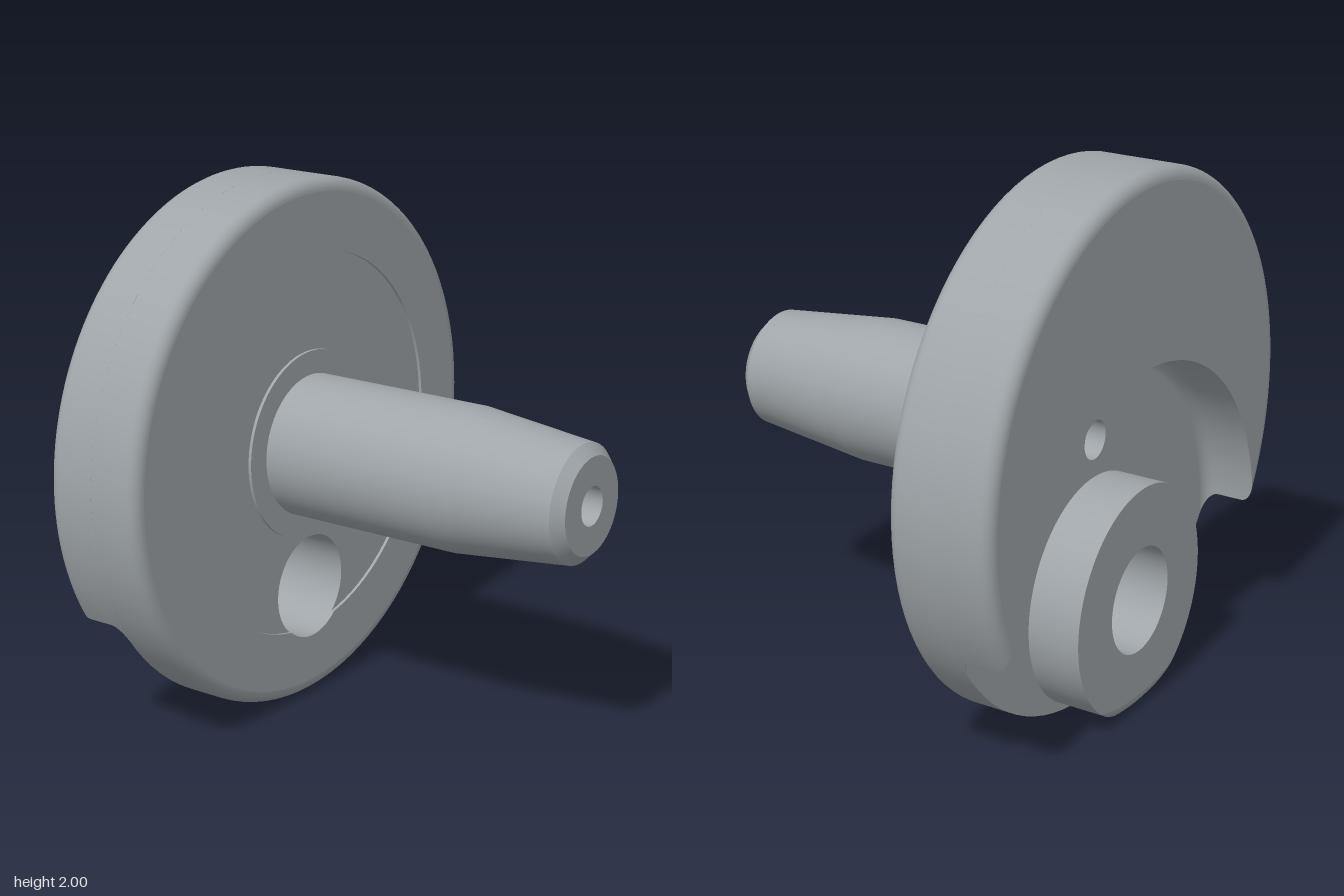
import * as THREE from 'three';

const TAU = Math.PI * 2;
const AXIS = 1, PIN = 0.43, C = AXIS - PIN;      // heights of the shaft axis and the pin bore
const X0 = -0.81, XF = -0.61, X1 = -0.41;        // web back, pocket floor, web front
const FIL = 0.05, POCKET = 0.87, BOSS = 0.43, BORE = 0.2, OIL = 0.073;
const HUB = 0.36, RECESS = 0.73, XR = X1 - 0.012; // shallow ring recess

// Points [z, y] of an arc around height cy, angles measured from straight down
function arc(cy, r, a0 = 0, a1 = TAU, n = 96) {
  return Array.from({ length: n + 1 }, (_, i) => {
    const a = a0 + (a1 - a0) * i / n;
    const q = typeof r === 'function' ? r(a) : r;
    return [q * Math.sin(a), cy - q * Math.cos(a)];
  });
}

// Angles where a circle d on the axis meets a circle p on the pin centre
function meet(d, p) {
  const a = Math.acos((d * d + C * C - p * p) / (2 * d * C));
  return [a, Math.atan2(d * Math.sin(a), d * Math.cos(a) - C)];
}

// Skin through rows of { x, pts }; rising x faces outward, falling x inward
function band(rows) {
  const pos = [], idx = [], m = rows[0].pts.length;
  rows.forEach(({ x, pts }, i) => pts.forEach(([z, y], j) => {
    pos.push(x, y, z);
    if (i && j) {
      const d = i * m + j, c = d - 1, b = d - m, a = b - 1;
      idx.push(a, c, b, b, c, d);
    }
  }));
  const g = new THREE.BufferGeometry();
  g.setAttribute('position', new THREE.Float32BufferAttribute(pos, 3));
  g.setIndex(idx);
  g.computeVertexNormals();
  return g;
}

// Flat face at x, facing dir (+1 or -1) along x
function flat(x, dir, outer, holes = []) {
  const vec = pts => pts.map(p => new THREE.Vector2(p[0], p[1]));
  const s = new THREE.Shape(vec(outer));
  s.holes = holes.map(h => new THREE.Path(vec(h)));
  return new THREE.ShapeGeometry(s).rotateY(dir * Math.PI / 2).translate(x, 0, 0);
}

const tube = (cy, list) => band(list.map(([x, r]) => ({ x, pts: arc(cy, r) })));
const round = t => Math.sqrt(Math.max(0, FIL * FIL - Math.max(0, FIL - t) ** 2));
const rimR = x => 1 - FIL + round(Math.min(x - X0, X1 - x));
const pocketR = x => POCKET - FIL + round(XF - x);

// Stations packed into a rounding at each end
function stations(a, b, endA, endB) {
  const ease = Array.from({ length: 9 }, (_, k) => FIL * (1 - Math.cos(k * Math.PI / 16)));
  return [...(endA ? ease.map(t => a + t) : [a]), ...(endB ? ease.map(t => b - t).reverse() : [b])];
}

export function createModel() {
  const group = new THREE.Group();
  const steel = new THREE.MeshStandardMaterial({ color: 0x9fa5a9, side: THREE.DoubleSide });
  steel.name = 'steel grey';
  const part = (name, ...geos) => {
    const g = new THREE.Group();
    g.name = name;
    geos.forEach((geo, i) => {
      const mesh = new THREE.Mesh(geo, steel);
      mesh.name = name + 'Surface' + (i + 1);
      g.add(mesh);
    });
    group.add(g);
  };

  // Full round half of the web and the pocket floor
  part('webRim', tube(AXIS, stations(XF, X1, false, true).map(x => [x, rimR(x)])));
  part('pocketFloor', flat(XF, -1, arc(AXIS, 1), [arc(PIN, BORE), arc(AXIS, OIL, 0, TAU, 32)]));

  // Front face: outer ring, recessed ring and hub, all pierced by the pin bore
  const [ra, rb] = meet(RECESS, BORE);
  const ringEdge = arc(AXIS, RECESS, ra, TAU - ra);
  part('frontFace',
    flat(X1, 1, arc(AXIS, 1 - FIL), [[...ringEdge, ...arc(PIN, BORE, -rb, rb, 24).slice(1, -1)]]),
    flat(XR, 1, [...ringEdge, ...arc(PIN, BORE, TAU - rb, rb, 48).slice(1, -1)], [arc(AXIS, HUB)]),
    flat(X1, 1, arc(AXIS, HUB), [arc(AXIS, 0.25)]),
    band([{ x: X1, pts: ringEdge }, { x: XR, pts: ringEdge }]),
    tube(AXIS, [[XR, HUB], [X1, HUB]]));

  // Crescent counterweight around the pocket
  const xs = stations(X0, XF, true, true);
  const rim = xs.map(x => {
    const [a] = meet(rimR(x), pocketR(x));
    return { x, pts: arc(AXIS, rimR(x), a, TAU - a) };
  });
  const wall = xs.map(x => {
    const [, b] = meet(rimR(x), pocketR(x));
    return { x, pts: arc(PIN, pocketR(x), b, TAU - b) };
  });
  part('counterweight', band(rim), band([...wall].reverse()),
    flat(X0, -1, [...rim[0].pts, ...[...wall[0].pts].reverse().slice(1, -1)]));

  // Pin boss, trimmed by the rounded rim of the web
  const bossR = x => b => Math.min(BOSS,
    -C * Math.cos(b) + Math.sqrt(rimR(x) ** 2 - (C * Math.sin(b)) ** 2));
  const boss = stations(X0, XF, true, false).map(x => ({ x, pts: arc(PIN, bossR(x)) }));
  part('pinBoss', band(boss), flat(X0, -1, boss[0].pts, [arc(PIN, BORE)]));

  // Pin bore: complete to the recess, then the outer bite and the inner bite
  const lip = arc(PIN, BORE, -rb, rb, 24);
  part('pinBore', tube(PIN, [[XR, BORE], [X0, BORE]]),
    band([{ x: X1, pts: lip }, { x: XR, pts: lip }]));

  // Shaft: straight journal, taper split around the keyway, chamfered tip
  const taper = x => 0.27 - 0.05 * (x - 0.31) / 0.46;
  const K0 = 0.39, K1 = 0.73, KW = 0.035;
  const open = x => {
    const a = Math.asin(KW / taper(x));
    return { x, pts: arc(AXIS, taper(x), a, TAU - a) };
  };
  part('shaft',
    tube(AXIS, [[X1, 0.27], [0.31, 0.27]]),
    tube(AXIS, [[0.31, 0.27], [K0, taper(K0)]]),
    band([open(K0), open(K1)]),
    tube(AXIS, [[K1, taper(K1)], [0.77, 0.22]]),
    tube(AXIS, [[0.77, 0.22], [0.81, 0.18]]),
    flat(0.81, 1, arc(AXIS, 0.18), [arc(AXIS, OIL, 0, TAU, 32)]));

  // Keyway on the underside of the taper
  const edge = x => AXIS - Math.sqrt(taper(x) ** 2 - KW ** 2);
  const floor = edge(K1);
  const side = s => band([K0, K1].map(x => ({ x, pts: s > 0
    ? [[KW, edge(x)], [KW, floor]] : [[-KW, floor], [-KW, edge(x)]] })).reverse());
  const a0 = Math.asin(KW / taper(K0));
  part('keyway',
    band([K0, K1].map(x => ({ x, pts: [[-KW, floor], [KW, floor]] }))),
    side(1), side(-1),
    flat(K0, 1, [...arc(AXIS, taper(K0), -a0, a0, 6), [KW, floor], [-KW, floor]]));

  // Oil passage through the shaft
  part('oilPassage', tube(AXIS, [[0.81, OIL], [XF, OIL]]));
  return group;
}
